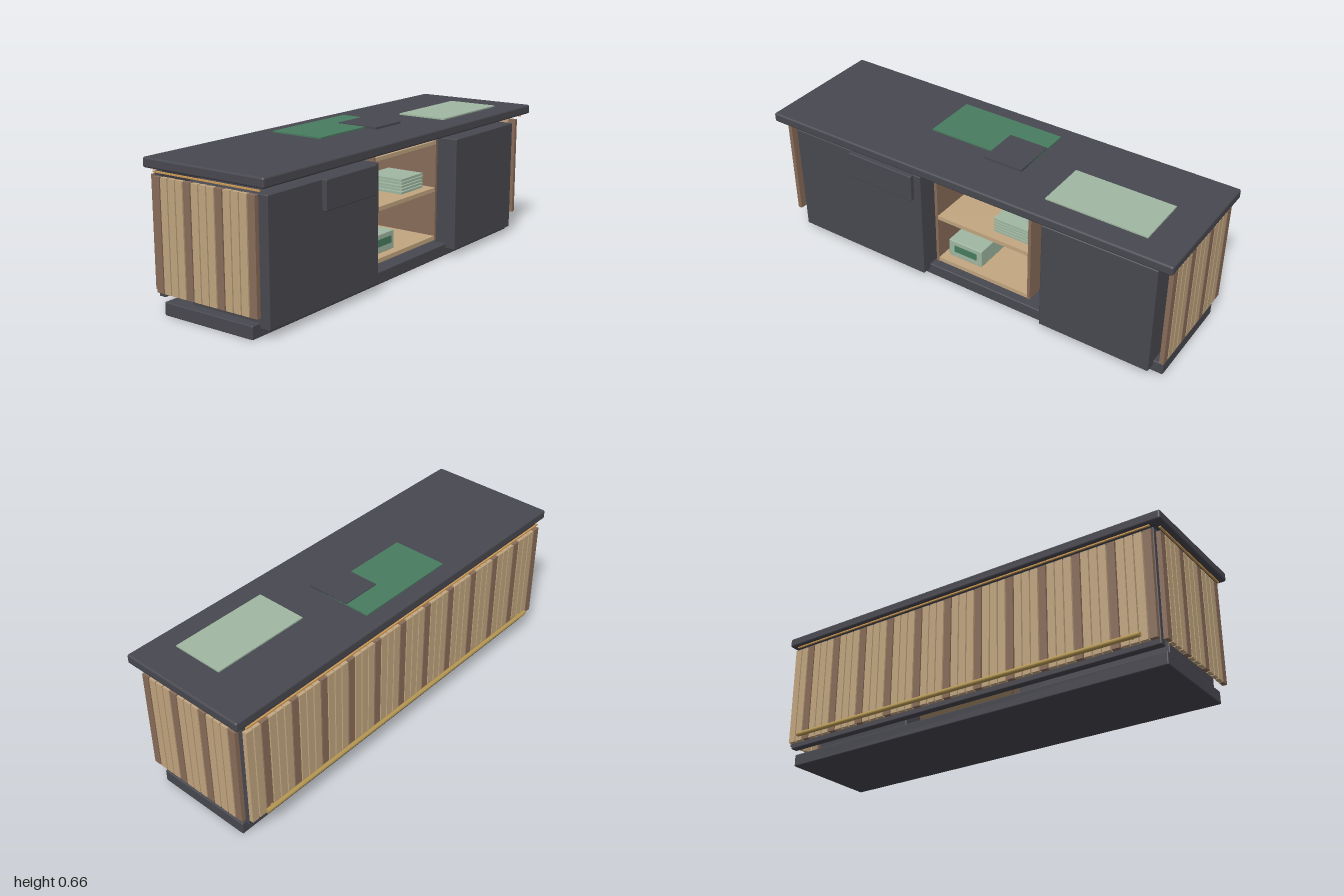
import * as THREE from 'three';
import { RoundedBoxGeometry } from 'three/addons/geometries/RoundedBoxGeometry.js';

const mat = (name, color) => {
  const m = new THREE.MeshStandardMaterial({ color });
  m.name = name;
  return m;
};

export function createModel() {
  const charcoal = mat('charcoal', 0x484850);
  const oak = mat('oak', 0xc2a680);
  const walnut = mat('walnut', 0x8a6d5a);
  const darkBrown = mat('dark brown', 0x65523c);
  const brass = mat('brass', 0xb59753);
  const amber = mat('amber', 0xcc9a55);
  const green = mat('green', 0x487d60);
  const sage = mat('sage', 0xa0b8a2);

  const root = new THREE.Group();
  root.name = 'receptionCounter';
  const group = (name) => {
    const g = new THREE.Group();
    g.name = name;
    root.add(g);
    return g;
  };

  // Box given by its limits on each axis; a radius rounds its edges
  const box = (name, material, [x0, x1], [y0, y1], [z0, z1], radius = 0, parent = root) => {
    const size = [x1 - x0, y1 - y0, z1 - z0];
    const geometry = radius
      ? new RoundedBoxGeometry(...size, 2, radius)
      : new THREE.BoxGeometry(...size);
    const mesh = new THREE.Mesh(geometry, material);
    mesh.name = name;
    mesh.position.set((x0 + x1) / 2, (y0 + y1) / 2, (z0 + z1) / 2);
    parent.add(mesh);
    return mesh;
  };

  // Main body
  box('plinth', charcoal, [-0.966, 0.966], [0, 0.057], [-0.243, 0.222], 0.005);
  box('backPanel', charcoal, [-0.96, 0.96], [0.073, 0.588], [-0.278, -0.243], 0.005);
  box('counterTop', charcoal, [-1, 1], [0.603, 0.646], [-0.298, 0.321], 0.009);
  box('rightCabinet', charcoal, [-0.922, -0.22], [0.032, 0.56], [-0.13, 0.27], 0.005);
  box('leftCabinet', charcoal, [0.393, 0.92], [0.032, 0.56], [-0.13, 0.27], 0.005);
  box('drawerFront', charcoal, [-0.6, -0.255], [0.432, 0.56], [0.262, 0.291], 0.004);

  // Vertical slats, every fourth one darker
  const slatY = [0.097, 0.57], pitch = 0.0408, half = 0.0175;
  const slatMaterial = (i) => (i % 4 === 0 ? walnut : oak);
  for (const side of [-1, 1]) {
    const slats = group(side > 0 ? 'leftSlats' : 'rightSlats');
    const xs = side > 0 ? [0.962, 0.982] : [-0.982, -0.962];
    for (let i = 0; i < 13; i++) {
      const z = 0.244 - i * pitch;
      box('sideSlat', slatMaterial(i), xs, slatY, [z - half, z + half], 0, slats);
    }
  }
  const backSlats = group('backSlats');
  for (let i = 0; i < 47; i++) {
    const x = (i - 23) * pitch;
    box('backSlat', slatMaterial(i), [x - half, x + half], slatY, [-0.298, -0.278], 0, backSlats);
  }

  // Light strips under the counter top
  const strips = group('lightStrips');
  box('leftStrip', amber, [0.974, 0.982], [0.586, 0.592], [-0.26, 0.284], 0, strips);
  box('rightStrip', amber, [-0.982, -0.974], [0.586, 0.592], [-0.26, 0.284], 0, strips);
  box('backStrip', amber, [-0.95, 0.95], [0.586, 0.592], [-0.296, -0.288], 0, strips);

  // Open shelf unit
  const shelf = group('openShelf');
  const shelfZ = [-0.12, 0.218];
  box('shelfBack', darkBrown, [-0.184, 0.314], [0.092, 0.566], [-0.13, -0.12], 0, shelf);
  box('shelfSide', walnut, [-0.184, -0.17], [0.092, 0.566], shelfZ, 0, shelf);
  box('shelfSide', walnut, [0.3, 0.314], [0.092, 0.566], shelfZ, 0, shelf);
  for (const [y0, y1] of [[0.095, 0.115], [0.326, 0.345], [0.546, 0.563]]) {
    box('shelfBoard', oak, [-0.17, 0.3], [y0, y1], [-0.12, 0.217], 0, shelf);
  }

  // Items on the shelves
  box('storageBox', sage, [-0.145, 0.032], [0.115, 0.201], [-0.02, 0.175], 0.004);
  box('boxLabel', green, [-0.113, 0.006], [0.146, 0.179], [0.172, 0.179]);
  const stack = group('paperStack');
  for (let i = 0; i < 5; i++) {
    const y = 0.345 + i * 0.0145, dx = (i % 2) * 0.004;
    box('paperTray', sage, [0.095 + dx, 0.268 + dx], [y, y + 0.0105], [-0.02, 0.17], 0, stack);
  }

  // Flat pads on the counter top
  box('greenMat', green, [-0.317, 0.187], [0.646, 0.6525], [-0.22, 0.04]);
  box('darkPad', charcoal, [-0.002, 0.187], [0.646, 0.6555], [-0.107, 0.1]);
  box('sageMat', sage, [0.373, 0.838], [0.646, 0.6525], [-0.033, 0.212]);

  // Foot rail along the back
  const footRail = group('footRail');
  const rod = (name, radius, length, x, z) => {
    const mesh = new THREE.Mesh(new THREE.CylinderGeometry(radius, radius, length, 20), brass);
    mesh.name = name;
    mesh.position.set(x, 0.12, z);
    footRail.add(mesh);
    return mesh;
  };
  rod('rail', 0.0105, 1.78, 0, -0.311).rotation.z = Math.PI / 2;
  for (const x of [-0.85, 0.85]) {
    rod('railBracket', 0.0075, 0.13, x, -0.245).rotation.x = Math.PI / 2;
  }

  return root;
}
